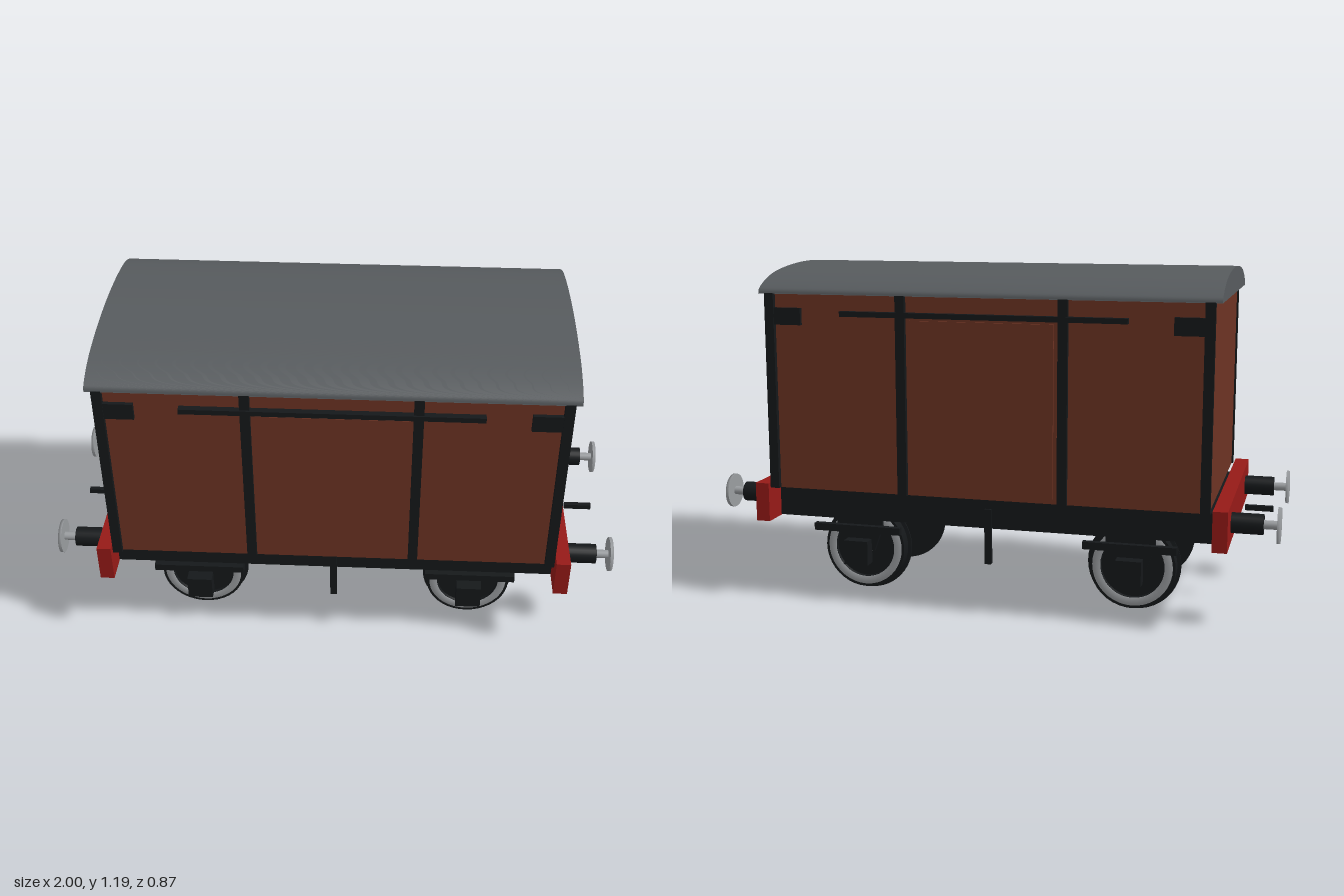
import * as THREE from 'three';

const mat = (color, side = THREE.FrontSide) => new THREE.MeshStandardMaterial({ color, side });
const brown = mat(0x6c3323), black = mat(0x15181a), red = mat(0x961a17);
const grey = mat(0x575b5e), steel = mat(0x9a9da0);
const wheelBlack = mat(0x15181a, THREE.DoubleSide), wheelSteel = mat(0x9a9da0, THREE.DoubleSide);

export function createModel() {
  const wagon = new THREE.Group();
  wagon.name = 'coveredWagon';

  const add = (parent, name, geometry, material, x = 0, y = 0, z = 0) => {
    const mesh = new THREE.Mesh(geometry, material);
    mesh.name = name;
    mesh.position.set(x, y, z);
    parent.add(mesh);
  };
  // Box given by its lower and upper limits on each axis
  const box = (parent, name, material, [x0, x1], [y0, y1], [z0, z1]) =>
    add(parent, name, new THREE.BoxGeometry(x1 - x0, y1 - y0, z1 - z0), material,
      (x0 + x1) / 2, (y0 + y1) / 2, (z0 + z1) / 2);
  const lathe = (points, segments = 40) =>
    new THREE.LatheGeometry(points.map(p => new THREE.Vector2(...p)), segments);

  // Van body above a floor, with a narrow gap between them
  box(wagon, 'body', brown, [-0.77, 0.77], [0.412, 1.102], [-0.413, 0.413]);
  box(wagon, 'floor', black, [-0.79, 0.79], [0.365, 0.394], [-0.3, 0.3]);

  // Arched roof
  const arch = [[0.42, 1.119], [0.37, 1.145], [0.3, 1.166], [0.2, 1.181], [0.1, 1.189]];
  const profile = new THREE.Shape();
  profile.moveTo(-0.43, 1.1);
  profile.lineTo(0.43, 1.1);
  profile.splineThru([...arch, [0, 1.192], ...arch.map(([z, y]) => [-z, y]).reverse(), [-0.43, 1.1]]
    .map(p => new THREE.Vector2(...p)));
  const roof = new THREE.ExtrudeGeometry(profile, { depth: 1.594, bevelEnabled: false, curveSegments: 32 });
  roof.translate(0, 0, -0.797).rotateY(Math.PI / 2);
  add(wagon, 'roof', roof, grey);

  // Side fittings, built on the front and turned round for the back
  for (const turn of [0, Math.PI]) {
    const side = new THREE.Group();
    side.name = turn ? 'backSide' : 'frontSide';
    side.rotation.y = turn;
    wagon.add(side);
    box(side, 'solebar', black, [-0.79, 0.79], [0.29, 0.394], [0.295, 0.332]);
    for (const s of [-1, 1]) {
      const span = (a, b) => (s > 0 ? [a, b] : [-b, -a]);
      box(side, 'cornerPost', black, span(0.743, 0.776), [0.412, 1.102], [0.411, 0.43]);
      box(side, 'doorPost', black, span(0.265, 0.298), [0.412, 1.102], [0.41, 0.43]);
      box(side, 'cornerPlate', black, span(0.645, 0.745), [0.993, 1.052], [0.41, 0.427]);
    }
    box(side, 'doorFrame', brown, [-0.262, 0.262], [0.42, 1.028], [0.41, 0.417]);
    box(side, 'doorPanel', brown, [-0.25, 0.25], [0.43, 1.018], [0.41, 0.425]);
    box(side, 'doorRail', black, [-0.497, 0.497], [1.027, 1.045], [0.412, 0.436]);
    box(side, 'brakeLever', black, [-0.012, 0.012], [0.163, 0.36], [0.325, 0.342]);

    // Axle guard, spring and axlebox at each wheel
    for (const x of [-0.495, 0.495]) {
      const guard = new THREE.Shape([[-0.09, 0.34], [-0.085, 0.25], [-0.055, 0.166],
        [0.055, 0.166], [0.085, 0.25], [0.09, 0.34]].map(p => new THREE.Vector2(...p)).reverse());
      add(side, 'axleGuard', new THREE.ExtrudeGeometry(guard, { depth: 0.015, bevelEnabled: false }),
        black, x, 0, 0.281);
      box(side, 'spring', black, [x - 0.163, x + 0.163], [0.238, 0.264], [0.303, 0.326]);
      box(side, 'axlebox', black, [x - 0.045, x + 0.045], [0.122, 0.21], [0.293, 0.34]);
    }
  }

  // Wheelsets: flange on the inner side, bright tyre ring and hub outside
  const wheelShape = lathe([[0, 0.198], [0.165, 0.198], [0.165, 0.198], [0.165, 0.203], [0.165, 0.203],
    [0.152, 0.205], [0.152, 0.205], [0.151, 0.246], [0.151, 0.246], [0.112, 0.246], [0.112, 0.246],
    [0.11, 0.236], [0.11, 0.236], [0, 0.236]]).rotateX(Math.PI / 2);
  const ringShape = lathe([[0.112, 0.243], [0.114, 0.25], [0.135, 0.249], [0.146, 0.244]])
    .rotateX(Math.PI / 2);
  const axleShape = new THREE.CylinderGeometry(0.025, 0.025, 0.44, 24).rotateX(Math.PI / 2);
  const hubShape = new THREE.CylinderGeometry(0.03, 0.03, 0.024, 24).rotateX(Math.PI / 2);
  for (const x of [-0.495, 0.495]) {
    const set = new THREE.Group();
    set.name = 'wheelset';
    set.position.set(x, 0.165, 0);
    wagon.add(set);
    add(set, 'axle', axleShape, black);
    for (const turn of [0, Math.PI]) {
      const wheel = new THREE.Group();
      wheel.name = 'wheel';
      wheel.rotation.y = turn;
      set.add(wheel);
      add(wheel, 'wheelDisc', wheelShape, wheelBlack);
      add(wheel, 'tyreRing', ringShape, wheelSteel);
      add(wheel, 'hub', hubShape, steel, 0, 0, 0.244);
    }
  }

  // End beams with buffers and coupling, mirrored by a half turn
  const housing = new THREE.CylinderGeometry(0.035, 0.035, 0.118, 24).rotateZ(Math.PI / 2);
  const rod = new THREE.CylinderGeometry(0.015, 0.015, 0.06, 20).rotateZ(Math.PI / 2);
  const head = lathe([[0, 0], [0.061, 0], [0.061, 0], [0.061, 0.011], [0, 0.014]], 32)
    .rotateZ(-Math.PI / 2);
  for (const turn of [0, Math.PI]) {
    const end = new THREE.Group();
    end.name = turn ? 'rightEnd' : 'leftEnd';
    end.rotation.y = turn;
    wagon.add(end);
    box(end, 'bufferBeam', red, [0.784, 0.834], [0.288, 0.426], [-0.43, 0.43]);
    box(end, 'couplingBar', black, [0.857, 0.956], [0.332, 0.35], [-0.009, 0.009]);
    for (const z of [-0.288, 0.288]) {
      add(end, 'bufferHousing', housing, black, 0.882, 0.357, z);
      add(end, 'bufferRod', rod, steel, 0.96, 0.357, z);
      add(end, 'bufferHead', head, wheelSteel, 0.986, 0.357, z);
    }
  }
  return wagon;
}
